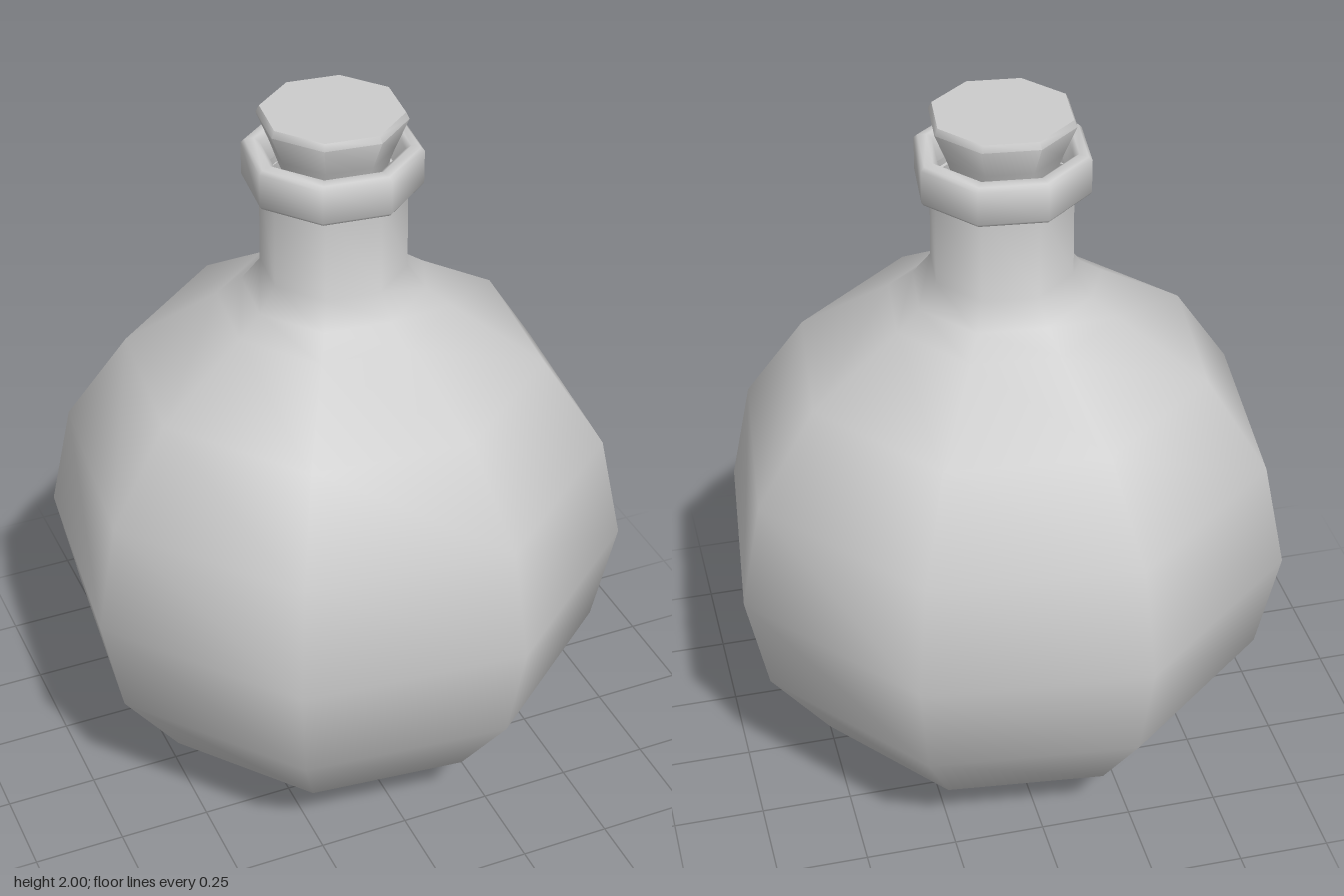
import * as THREE from 'three';
import { toCreasedNormals } from 'three/addons/utils/BufferGeometryUtils.js';

const SIDES = 8;
const TWIST = 0.282; // turn of the octagon about the vertical axis

export function createModel() {
  const flask = new THREE.Group();
  flask.name = 'flask';
  const material = new THREE.MeshStandardMaterial({ color: 0xcccccc, side: THREE.DoubleSide });

  // Turns a [radius, height] profile, listed from the bottom up, into an eight-sided part
  function turned(name, profile, offset = 0) {
    const points = profile.map(([r, y]) => new THREE.Vector2(r, y));
    const geometry = toCreasedNormals(new THREE.LatheGeometry(points, SIDES, TWIST), 1.05);
    const mesh = new THREE.Mesh(geometry, material);
    mesh.name = name;
    mesh.position.set(offset, 0, offset);
    flask.add(mesh);
  }

  // Round belly running up through the shoulder into the neck
  turned('bottle', [
    [0, 0.005], [0.303, 0.03], [0.56, 0.2], [0.73, 0.44], [0.791, 0.735],
    [0.73, 1.03], [0.56, 1.28], [0.31, 1.44], [0.243, 1.49], [0.193, 1.555], [0.191, 1.82],
  ], -0.003);

  // Collar around the mouth, with a small bevel and a hollow inside
  turned('lip', [
    [0.185, 1.795], [0.228, 1.795], [0.234, 1.803], [0.234, 1.893],
    [0.224, 1.903], [0.2, 1.907], [0.185, 1.897], [0.175, 1.83],
  ], -0.005);

  // Tapered stopper
  turned('cork', [
    [0, 1.83], [0.135, 1.83], [0.16, 1.9], [0.194, 1.982], [0.185, 2], [0, 2],
  ], -0.005);

  return flask;
}
